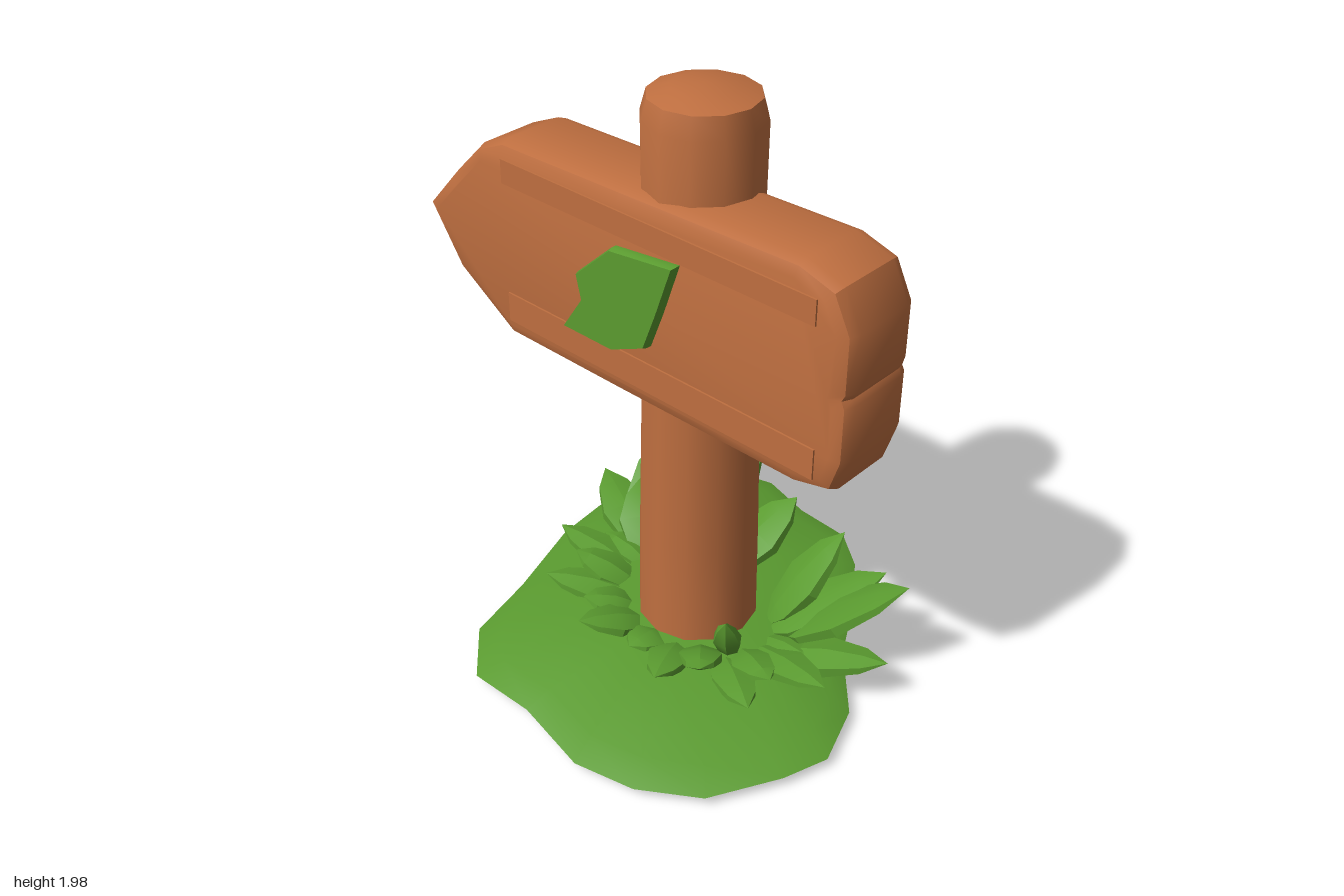
import * as THREE from 'three';
import { toCreasedNormals } from 'three/addons/utils/BufferGeometryUtils.js';

const V2 = (p) => new THREE.Vector2(p[0], p[1]);
const V3 = (p) => new THREE.Vector3(p[0], p[1], p[2]);

export function createModel() {
  const model = new THREE.Group();
  const wood = new THREE.MeshStandardMaterial({ color: 0xbf6f40 });
  wood.name = 'wood';
  const grass = new THREE.MeshStandardMaterial({ color: 0x5b9c30 });
  grass.name = 'grass';

  const add = (name, geometry, material, crease = 0.5) => {
    const mesh = new THREE.Mesh(toCreasedNormals(geometry, crease), material);
    mesh.name = name;
    model.add(mesh);
    return mesh;
  };

  // Round post with a worn, chamfered top
  const postProfile = [[0, 0.06], [0.2, 0.06], [0.195, 0.5], [0.185, 1.0], [0.18, 1.5],
    [0.183, 1.9], [0.165, 1.965], [0.1, 1.985], [0, 1.995]].map(V2);
  add('post', new THREE.LatheGeometry(postProfile, 12), wood, 0.65).position.set(0.14, 0, 0.01);

  // Arrow board pointing to -x, with bevelled edges
  const bevel = 0.045;
  const outline = [[-0.81, 1.36], [-0.7, 1.2], [-0.48, 1.06], [0, 1.06], [0.66, 1.065], [0.76, 1.09],
    [0.785, 1.17], [0.785, 1.33], [0.77, 1.36], [0.785, 1.39], [0.785, 1.55], [0.74, 1.64], [0.64, 1.67],
    [0, 1.655], [-0.48, 1.645], [-0.58, 1.6], [-0.71, 1.47]];
  const board = new THREE.ExtrudeGeometry(new THREE.Shape(outline.map(V2)), {
    depth: 0.2, bevelEnabled: true, bevelSize: bevel, bevelThickness: bevel, bevelSegments: 2,
  });
  add('arrowBoard', board, wood, 0.6).position.z = -0.035 + 0.01;

  // Raised planks on the front of the board
  for (const [y, x0, x1, h] of [[1.13, -0.48, 0.74, 0.1], [1.6, -0.48, 0.72, 0.08]]) {
    const plank = add('boardPlank', new THREE.BoxGeometry(x1 - x0, h, 0.008), wood);
    plank.position.set((x0 + x1) / 2, y, 0.222);
  }

  // Leaf patch on the front of the board
  const patchShape = new THREE.Shape([[-0.2, 1.19], [0.0, 1.19], [0.13, 1.25], [0.18, 1.38], [0.24, 1.55],
    [0.0, 1.52], [-0.14, 1.39], [-0.12, 1.31]].map(V2));
  const patch = new THREE.ExtrudeGeometry(patchShape, {
    depth: 0.025, bevelEnabled: true, bevelSize: 0.005, bevelThickness: 0.015, bevelSegments: 1,
  });
  add('leafPatch', patch, grass).position.z = 0.212;

  // Grass mound: a unit lathe pulled out to an uneven rim
  const rim = [[0.03, 0.69], [0.3, 0.74], [0.5, 0.69], [0.68, 0.57], [0.8, 0.35], [0.85, 0.2], [0.78, 0],
    [0.6, -0.2], [0.5, -0.38], [0.36, -0.58], [0.23, -0.68], [0.03, -0.69], [-0.16, -0.74], [-0.34, -0.69],
    [-0.46, -0.58], [-0.49, -0.4], [-0.54, -0.2], [-0.52, 0], [-0.42, 0.3], [-0.36, 0.55], [-0.2, 0.7]];
  const moundProfile = [[0, 0.02], [0.88, 0.025], [1, 0.055], [0.88, 0.09], [0.5, 0.13], [0, 0.15]];
  const mound = new THREE.LatheGeometry(moundProfile.map(V2), rim.length);
  const pos = mound.attributes.position;
  for (let i = 0; i < pos.count; i++) {
    const [x, z] = rim[Math.floor(i / moundProfile.length) % rim.length];
    const r = moundProfile[i % moundProfile.length][0];
    pos.setXYZ(i, 0.14 + r * (x - 0.14), pos.getY(i), r * z);
  }
  add('grassMound', mound, grass, 0.6);

  // Broad pointed leaf running from a base to a tip
  const leaf = (name, base, tip, width, thick = 0.05) => {
    const b = V3(base), dir = V3(tip).sub(b), length = dir.length();
    const profile = [[0, 0], [0.36, 0.2], [0.5, 0.5], [0.32, 0.8], [0, 1]].map(V2);
    const geometry = new THREE.LatheGeometry(profile, 6);
    geometry.scale(width, length, thick);
    const y = dir.normalize();
    const side = Math.hypot(y.x, y.z) < 0.01 ? new THREE.Vector3(1, 0, 0)
      : new THREE.Vector3(y.z, 0, -y.x).normalize();
    const z = new THREE.Vector3().crossVectors(side, y);
    geometry.applyMatrix4(new THREE.Matrix4().makeBasis(side, y, z).setPosition(b));
    add(name, geometry, grass, 0.4);
  };

  // Tall leaves behind the post
  const tall = [
    [[0.0, 0.1, -0.16], [-0.08, 0.475, -0.56], 0.2],
    [[0.08, 0.1, -0.18], [0.17, 0.32, -0.47], 0.22],
    [[-0.1, 0.1, -0.16], [-0.24, 0.4, -0.42], 0.22],
    [[-0.18, 0.1, -0.1], [-0.4, 0.34, -0.36], 0.22],
    [[-0.2, 0.08, -0.1], [-0.56, 0.19, -0.25], 0.2],
    [[-0.15, 0.1, -0.05], [-0.35, 0.27, -0.22], 0.2],
    [[0.36, 0.1, -0.08], [0.5, 0.45, -0.3], 0.2],
    [[0.42, 0.1, -0.08], [0.8, 0.43, -0.24], 0.24],
    [[0.38, 0.1, -0.05], [0.66, 0.36, -0.32], 0.22],
    [[0.45, 0.1, 0.0], [0.82, 0.2, -0.13], 0.18],
    [[0.36, 0.1, 0.1], [0.42, 0.33, 0.19], 0.1],
  ];
  for (const [base, tip, width] of tall) leaf('tallLeaf', base, tip, width, 0.07);

  // Low tufts fanned around the front of the post
  for (let i = 0; i < 13; i++) {
    const a = -1.75 + i * 0.29, s = Math.sin(a), c = Math.cos(a);
    const reach = i % 2 ? 1 : 0.8;
    leaf('lowTuft', [0.14 + s * 0.24, 0.1, c * 0.16],
      [0.14 + s * 0.6 * reach, 0.15 + (i % 3) * 0.02, c * 0.38 * reach + 0.03], 0.16, 0.06);
  }
  return model;
}
